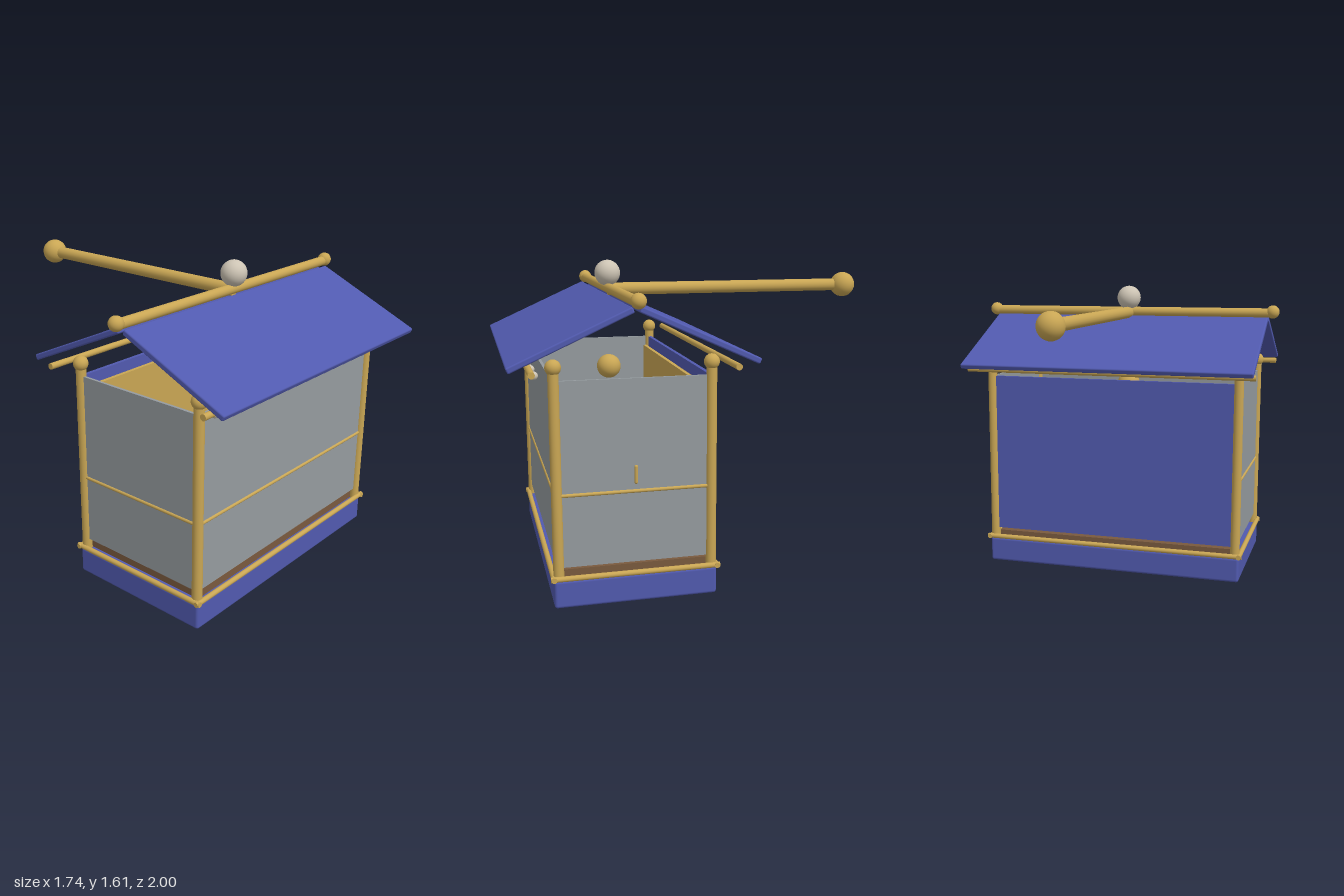
import * as THREE from 'three';
import { RoundedBoxGeometry } from 'three/addons/geometries/RoundedBoxGeometry.js';

const mat = (name, color) => {
  const m = new THREE.MeshStandardMaterial({ color });
  m.name = name;
  return m;
};

export function createModel() {
  const model = new THREE.Group();
  model.name = 'litter';
  const blue = mat('blue lacquer', 0x515aaf);
  const gold = mat('gold', 0xc9a654);
  const silver = mat('pale silver', 0xcdc4b4);
  const grey = mat('grey screen', 0x959b9f);
  const brown = mat('brown wood', 0x7a5a3e);
  const maroon = mat('dark cushion', 0x5a3028);

  const CZ = 0.41; // depth centre of the cabin

  const add = (name, geometry, material, x, y, z) => {
    const mesh = new THREE.Mesh(geometry, material);
    mesh.name = name;
    mesh.position.set(x, y, z);
    model.add(mesh);
    return mesh;
  };
  const box = (name, m, w, h, d, x, y, z) => add(name, new THREE.BoxGeometry(w, h, d), m, x, y, z);
  const rounded = (name, m, w, h, d, r, x, y, z) =>
    add(name, new RoundedBoxGeometry(w, h, d, 3, r), m, x, y, z);
  const ball = (name, m, r, x, y, z) => add(name, new THREE.SphereGeometry(r, 24, 16), m, x, y, z);
  const rod = (name, r, length, axis, x, y, z) => {
    const g = new THREE.CylinderGeometry(r, r, length, 20);
    if (axis === 'x') g.rotateZ(Math.PI / 2);
    if (axis === 'z') g.rotateX(Math.PI / 2);
    return add(name, g, gold, x, y, z);
  };

  // Base and floor
  rounded('base', blue, 1.47, 0.14, 0.8, 0.015, 0, 0.07, CZ);
  box('floor', brown, 1.38, 0.04, 0.73, 0, 0.16, CZ);

  // Seat and lining inside the cabin
  rounded('seat', maroon, 1.34, 0.27, 0.21, 0.015, 0, 0.315, 0.2);
  box('backLining', gold, 1.34, 0.85, 0.02, 0, 0.625, 0.07);
  ball('hangingLamp', gold, 0.064, 0, 1.041, CZ);

  // Walls
  box('frontScreen', grey, 1.39, 0.9, 0.015, 0, 0.65, 0.785);
  box('backWall', blue, 1.39, 0.9, 0.02, 0, 0.65, 0.035);
  rod('frontScreenBar', 0.009, 1.38, 'x', 0, 0.555, 0.791);

  for (const side of [-1, 1]) {
    box('sideScreen', grey, 0.015, 0.9, 0.72, side * 0.71, 0.65, CZ);
    rod('sideScreenBar', 0.009, 0.71, 'z', side * 0.716, 0.555, CZ);
    rod('sideRail', 0.0135, 0.83, 'z', side * 0.735, 0.15, CZ);
    // Corner posts with ball tops
    for (const z of [0.785, 0.035]) {
      rod('cornerPost', 0.026, 1.01, 'y', side * 0.71, 0.645, z);
      ball('postBall', gold, 0.038, side * 0.71, 1.163, z);
    }
    ball('ridgeBall', gold, 0.037, side * 0.835, 1.467, CZ);

    // Front and back: base rail, roof slope and eave rod
    rod(side > 0 ? 'frontRail' : 'backRail', 0.0135, 1.5, 'x', 0, 0.15, CZ + side * 0.4);
    const slope = rounded(side > 0 ? 'frontRoof' : 'backRoof', blue,
      1.624, 0.03, 0.626, 0.008, 0, 1.298, CZ + side * 0.302);
    slope.rotation.x = side * 0.423;
    rod(side > 0 ? 'frontEaveRod' : 'backEaveRod', 0.016, 1.624, 'x', 0, 1.148, CZ + side * 0.48);
  }

  // Door handle
  const handle = new THREE.CapsuleGeometry(0.009, 0.075, 6, 12);
  add('doorHandle', handle, gold, 0.736, 0.642, CZ);

  // Bells along the front eave
  for (let i = -4; i <= 4; i++) ball('eaveBell', silver, 0.02, i * 0.1775, 1.13, 0.872);

  // Ridge rod, finial and carrying pole
  rod('ridgeRod', 0.026, 1.66, 'x', 0, 1.461, CZ);
  ball('finial', silver, 0.068, 0, 1.54, CZ);
  rod('carryingPole', 0.033, 1.34, 'z', 0, 1.455, -0.26);
  ball('poleBall', gold, 0.068, 0, 1.455, -0.932);

  return model;
}
